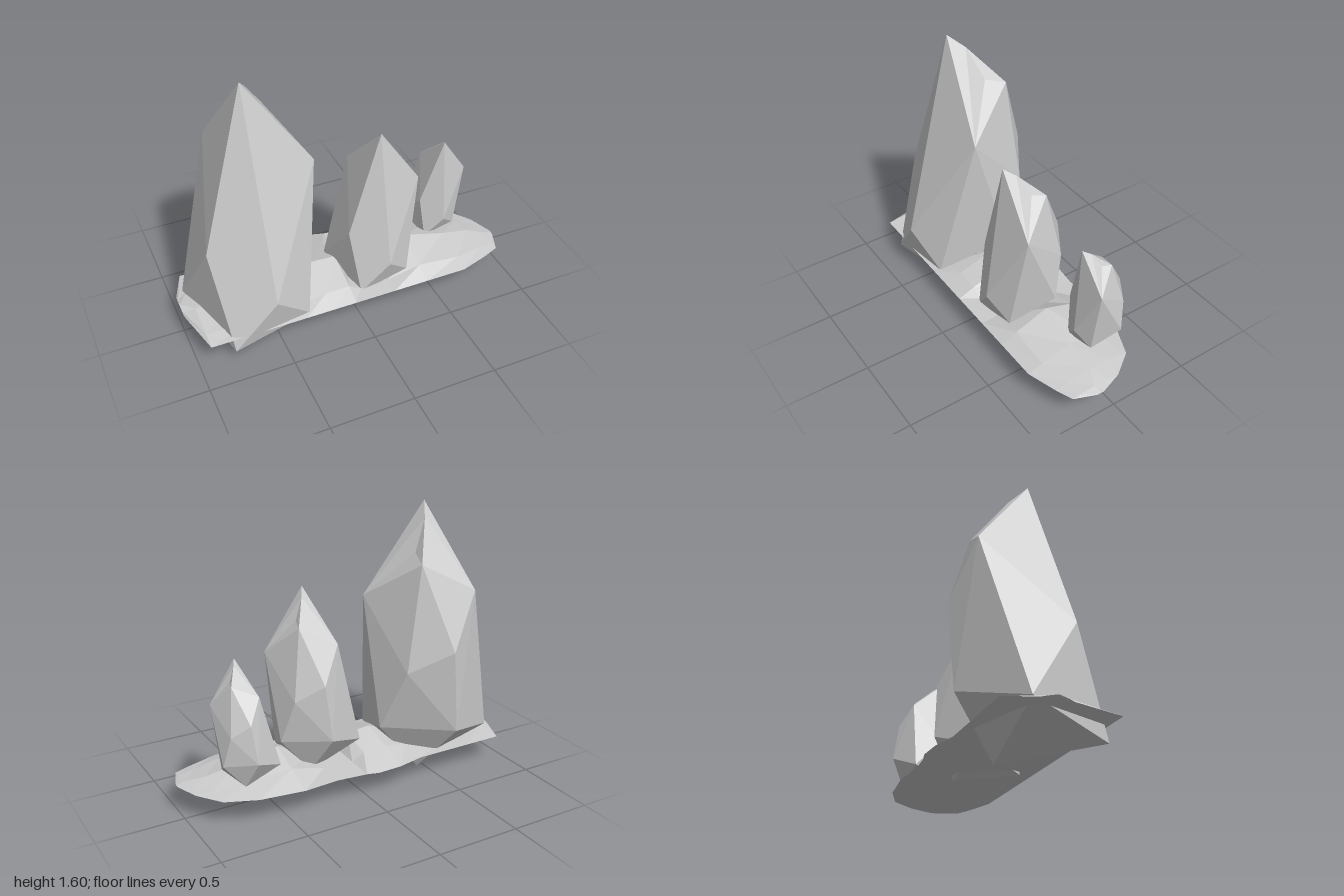
import * as THREE from 'three';

const grey = () => new THREE.MeshStandardMaterial({ color: 0xcccccc, flatShading: true, side: THREE.DoubleSide });

// Corners of the standing stone
const at = (x, y, z) => new THREE.Vector3(x, y, z);
const peak = at(-0.575, 1.6, 0.05);
const step = at(-0.52, 1.52, -0.04);
const notch = at(-0.42, 1.34, -0.1);
const second = at(-0.385, 1.3, -0.22);
const back = at(-0.7, 1.13, -0.3);
const right = at(-0.205, 1.07, 0.11);
const rear = at(-0.51, 0.81, -0.39);
const side = at(-0.285, 0.68, -0.25);
const left = at(-0.86, 0.65, 0.16);
const front = at(-0.545, 0.37, 0.385);
const rightLow = at(-0.2, 0.31, -0.1);
const rearLow = at(-0.56, 0.31, -0.37);
const leftLow = at(-0.955, 0.18, -0.14);
const frontRight = at(-0.33, 0.16, 0.31);
const frontLeft = at(-0.79, 0.065, 0.345);
const base = at(-0.46, 0, -0.12);

// Facets as fans: a hub corner, then the rim corners around it
const fans = [
  [peak, back, left, frontLeft, front, right, step, back],
  [frontRight, right, front, frontLeft, base, rightLow, right],
  [leftLow, left, frontLeft, base, rearLow, back, left],
  [rear, back, rearLow, side, second, back],
  [rightLow, base, rearLow, side, right],
  [second, back, step, notch, right, side],
  [step, notch, right],
];

// Stone geometry with its origin at the peak
function stoneGeometry() {
  const centre = at(-0.53, 0.65, 0);
  const points = [];
  for (const [hub, ...rim] of fans) {
    for (let i = 0; i < rim.length - 1; i++) {
      const a = rim[i], b = rim[i + 1];
      const normal = a.clone().sub(hub).cross(b.clone().sub(hub));
      // turn every facet outward
      if (normal.dot(hub.clone().sub(centre)) > 0) points.push(hub, a, b);
      else points.push(hub, b, a);
    }
  }
  const geometry = new THREE.BufferGeometry().setFromPoints(points);
  geometry.translate(-peak.x, -peak.y, -peak.z);
  geometry.computeVertexNormals();
  return geometry;
}

// Low mound: a closed cross-section swept along x
function moundGeometry() {
  // x, back z, front z, crest height
  const columns = [
    [-1, -0.12, 0.05, 0.18], [-0.93, -0.295, 0.345, 0.19], [-0.7, -0.295, 0.345, 0.17], [-0.36, -0.295, 0.345, 0.21],
    [-0.2, -0.33, 0.345, 0.27], [-0.05, -0.335, 0.345, 0.26], [0.02, -0.315, 0.345, 0.17], [0.2, -0.295, 0.345, 0.17],
    [0.41, -0.31, 0.345, 0.28], [0.67, -0.275, 0.345, 0.22], [0.85, -0.2, 0.29, 0.19], [0.95, -0.06, 0.25, 0.17],
    [1, 0.08, 0.12, 0.157],
  ];
  // fraction of the depth, fraction of the crest
  const section = [[0, 0], [0.25, 0.5], [0.53, 1], [0.85, 0.4], [1, 0]];
  const ground = 0.155;
  const n = section.length;
  const positions = [];
  const index = [];
  for (const [x, zBack, zFront, crest] of columns) {
    for (const [t, h] of section) positions.push(x, ground + (crest - ground) * h, zBack + (zFront - zBack) * t);
  }
  for (let i = 0; i < columns.length - 1; i++) {
    for (let j = 0; j < n; j++) {
      const a = i * n + j, b = i * n + ((j + 1) % n);
      index.push(a, b, a + n, b, b + n, a + n);
    }
  }
  const geometry = new THREE.BufferGeometry();
  geometry.setAttribute('position', new THREE.Float32BufferAttribute(positions, 3));
  geometry.setIndex(index);
  const flat = geometry.toNonIndexed();
  flat.computeVertexNormals();
  return flat;
}

export function createModel() {
  const model = new THREE.Group();
  model.name = 'standingStones';

  const mound = new THREE.Mesh(moundGeometry(), grey());
  mound.name = 'groundMound';
  model.add(mound);

  // Three stones of one shape: peak position, scale, forward lean
  const stone = stoneGeometry();
  const stones = [
    ['largeStone', [-0.575, 1.6, 0.05], 1, 0],
    ['mediumStone', [0.165, 1.165, 0.17], 0.66, 0.11],
    ['smallStone', [0.665, 0.875, 0.01], 0.432, 0.2],
  ];
  for (const [name, position, scale, lean] of stones) {
    const mesh = new THREE.Mesh(stone, grey());
    mesh.name = name;
    mesh.position.set(...position);
    mesh.scale.setScalar(scale);
    mesh.rotation.x = lean;
    model.add(mesh);
  }
  return model;
}
